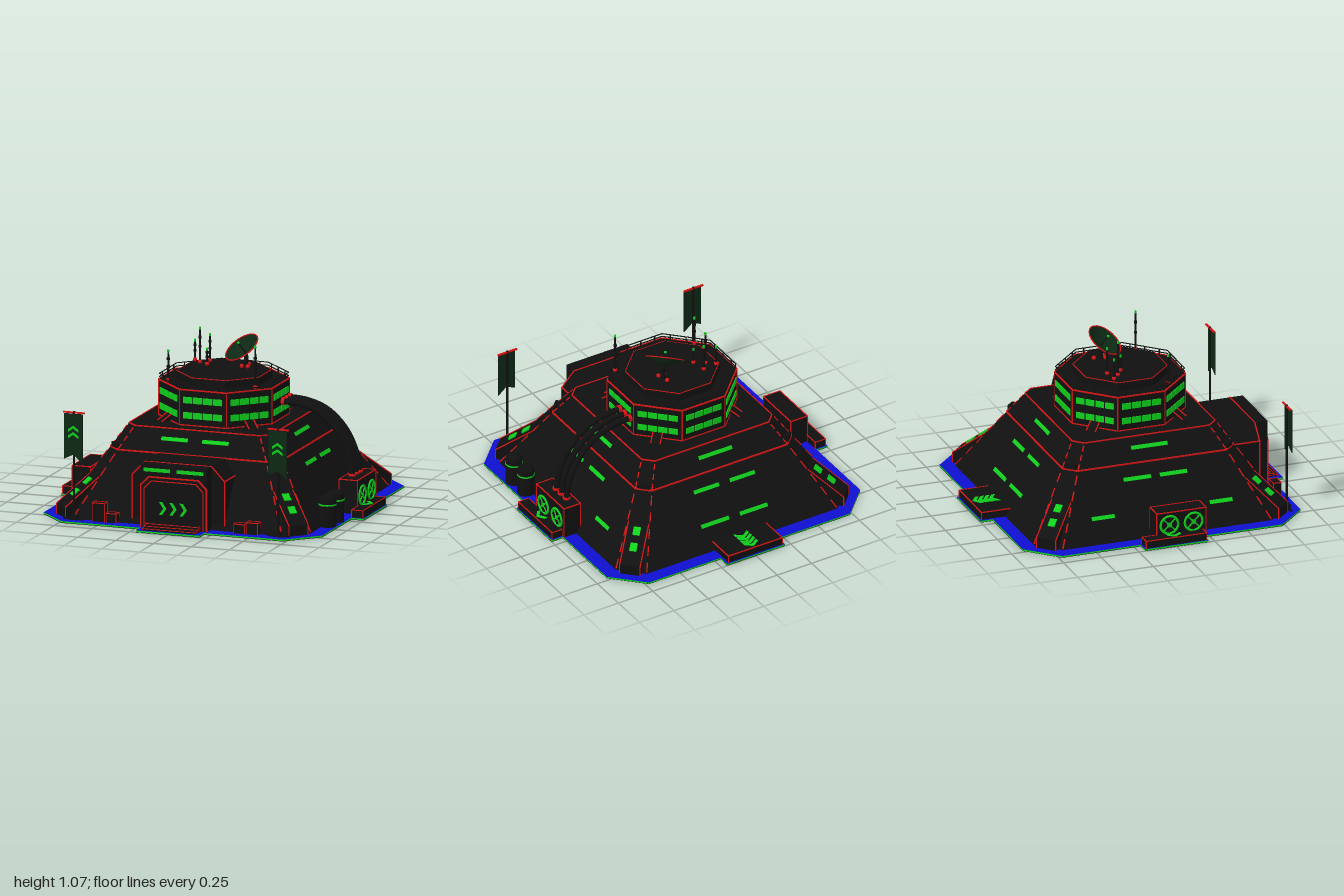
import * as THREE from 'three';

const mat = (name, color) => {
  const m = new THREE.MeshStandardMaterial({ color });
  m.name = name;
  return m;
};
const BLACK = mat('black armour', 0x101010);
const RED = mat('red trim', 0xd81414);
const GREEN = mat('green light', 0x0fd01c);
const BLUE = mat('blue ground', 0x0e0ed0);
const DARK = mat('dark green', 0x0d2814);
const V = (x, y, z) => new THREE.Vector3(x, y, z);

function add(parent, name, geo, material, x = 0, y = 0, z = 0) {
  const m = new THREE.Mesh(geo, material);
  m.name = name;
  m.position.set(x, y, z);
  parent.add(m);
  return m;
}
function group(parent, name, rotY = 0) {
  const g = new THREE.Group();
  g.name = name;
  g.rotation.y = rotY;
  parent.add(g);
  return g;
}
const box = (p, name, w, h, d, x, y, z, m = BLACK) => add(p, name, new THREE.BoxGeometry(w, h, d), m, x, y, z);
const cyl = (p, name, r0, r1, h, x, y, z, m = BLACK, n = 12) =>
  add(p, name, new THREE.CylinderGeometry(r1, r0, h, n), m, x, y + h / 2, z);

// Thin square bar between two points
function bar(p, name, a, b, w = 0.008, m = RED) {
  const d = b.clone().sub(a), c = a.clone().add(b).multiplyScalar(0.5);
  const mesh = box(p, name, w, w, d.length(), c.x, c.y, c.z, m);
  mesh.quaternion.setFromUnitVectors(V(0, 0, 1), d.normalize());
}
function path(p, name, pts, w, m, closed = false) {
  for (let i = 0; i < pts.length - (closed ? 0 : 1); i++) bar(p, name, pts[i], pts[(i + 1) % pts.length], w, m);
}
// Box standing on y with red upper and upright edges
function edgedBox(p, name, w, h, d, x, y, z, t = 0.006) {
  const g = group(p, name);
  box(g, name + 'Body', w, h, d, x, y + h / 2, z);
  const c = [[1, 1], [1, -1], [-1, -1], [-1, 1]].map(([i, j]) => V(x + i * w / 2, y + h, z + j * d / 2));
  path(g, name + 'Trim', c, t, RED, true);
  c.forEach(q => bar(g, name + 'Trim', V(q.x, y, q.z), q, t));
}
const shape = pts => new THREE.Shape(pts.map(([x, y]) => new THREE.Vector2(x, y)));
const extrude = (pts, depth) => new THREE.ExtrudeGeometry(shape(pts), { depth, bevelEnabled: false });
// Chevron plate pointing along +x in its own plane
const chevron = s => extrude([[0, s], [s * 0.5, s], [s * 1.2, 0], [s * 0.5, -s], [0, -s], [s * 0.7, 0]], 0.006);

// Square ring with cut corners
const ring = (y, h, c) => [[h, c - h], [h, h - c], [h - c, h], [c - h, h], [-h, h - c], [-h, c - h], [c - h, -h], [h - c, -h]]
  .map(([x, z]) => V(x, y, z));
function loft(rings) {
  const pos = [], tri = (...v) => v.forEach(p => pos.push(p.x, p.y, p.z));
  for (let k = 0; k + 1 < rings.length; k++) {
    const a = rings[k], b = rings[k + 1];
    a.forEach((p, i) => {
      const j = (i + 1) % a.length;
      tri(p, b[i], b[j]);
      tri(p, b[j], a[j]);
    });
  }
  const top = rings[rings.length - 1];
  for (let i = 1; i + 1 < top.length; i++) tri(top[0], top[i + 1], top[i]);
  const g = new THREE.BufferGeometry();
  g.setAttribute('position', new THREE.Float32BufferAttribute(pos, 3));
  g.computeVertexNormals();
  return g;
}
const half = y => 0.84 - 0.667 * y;

function buildBase(root) {
  const pts = [];
  for (let k = 0; k < 4; k++) {
    const c = Math.round(Math.cos(k * Math.PI / 2)), s = Math.round(Math.sin(k * Math.PI / 2));
    for (const [x, y] of [[0.92, -0.21], [1, -0.21], [1, 0.21], [0.92, 0.21], [0.92, 0.73], [0.73, 0.92]])
      pts.push([x * c - y * s, x * s + y * c]);
  }
  add(root, 'underside', extrude(pts, 0.003).rotateX(-Math.PI / 2), BLACK);
  add(root, 'groundPlate', extrude(pts, 0.01).rotateX(-Math.PI / 2), [BLUE, GREEN], 0, 0.002, 0);
}

function buildPyramid(root) {
  const rings = [ring(0.01, half(0.01), 0.14), ring(0.41, half(0.41), 0.075), ring(0.55, half(0.55), 0.06)];
  add(root, 'pyramid', loft(rings), BLACK);
  path(root, 'ledgeTrim', rings[1], 0.009, RED, true);
  path(root, 'upperTrim', rings[2], 0.007, RED, true);
  // Broken red lines along the corner edges
  for (let i = 0; i < 8; i++) for (let k = 0; k < 2; k++) for (let t = 0; t < 5 - k * 2; t++) {
    const n = 5 - k * 2, at = f => rings[k][i].clone().lerp(rings[k + 1][i], f / n);
    bar(root, 'cornerTrim', at(t + 0.1), at(t + 0.7), 0.007);
  }
  // Light strips on the slopes: [height, centre, length], for front, right, back, left
  const pair = (y, c, l) => [[y, -c, l], [y, c, l]];
  const strips = [
    pair(0.49, 0.135, 0.175),
    [[0.49, 0, 0.24], ...pair(0.33, 0.125, 0.17), [0.15, 0.385, 0.15]],
    [[0.49, 0, 0.24], ...pair(0.33, 0.13, 0.18), ...pair(0.15, 0.14, 0.2)],
    [[0.49, 0, 0.24], ...pair(0.33, 0.12, 0.18), ...pair(0.15, 0.39, 0.15)],
  ];
  strips.forEach((list, k) => {
    const g = group(root, 'slopeLights', k * Math.PI / 2);
    for (const [y, x, l] of list) box(g, 'lightStrip', l, 0.025, 0.009, x, y, half(y), GREEN).rotation.x = -0.588;
  });
  // Corner buttresses
  for (let k = 0; k < 4; k++) {
    const g = group(root, 'cornerButtress', Math.PI / 4 + k * Math.PI / 2);
    const prof = [[0.8, 0.01], [1.11, 0.01], [1.11, 0.08], [0.89, 0.245], [0.82, 0.27]];
    add(g, 'buttressBody', extrude(prof, 0.13), BLACK, 0, 0, -0.065);
    for (const z of [-0.065, 0.065]) path(g, 'buttressTrim', prof.slice(1).map(([x, y]) => V(x, y, z)), 0.006, RED);
    for (const [r, y] of [[1.015, 0.154], [0.93, 0.218]])
      box(g, 'buttressLight', 0.055, 0.012, 0.045, r, y, 0, GREEN).rotation.z = -0.643;
    box(g, 'cornerStud', 0.06, 0.05, 0.07, 0.72, 0.42, 0);
    for (const z of [-0.03, 0.03]) box(g, 'studTrim', 0.02, 0.012, 0.012, 0.655, 0.5, z, RED);
  }
}

function buildGate(root) {
  const g = group(root, 'gatehouse');
  const arch = [[-0.305, 0.01], [-0.305, 0.32], [-0.22, 0.41], [0.22, 0.41], [0.305, 0.32], [0.305, 0.01]];
  add(g, 'outerArch', extrude([...arch].reverse(), 0.31), BLACK, 0, 0, 0.5);
  path(g, 'archTrim', arch.map(([x, y]) => V(x, y, 0.81)), 0.007, RED);
  for (const s of [-1, 1]) bar(g, 'archTrim', V(s * 0.305, 0.32, 0.62), V(s * 0.305, 0.32, 0.81), 0.007);
  box(g, 'portal', 0.44, 0.4, 0.35, 0, 0.21, 0.72);
  const frame = (w, h, c) => [[-w, 0.01], [-w, h - c], [c - w, h], [w - c, h], [w, h - c], [w, 0.01]].map(([x, y]) => V(x, y, 0.896));
  path(g, 'doorFrame', frame(0.217, 0.335, 0.055), 0.009, RED);
  path(g, 'doorFrameInner', frame(0.195, 0.31, 0.05), 0.006, RED);
  for (const s of [-1, 1]) box(g, 'portalLight', 0.175, 0.022, 0.008, s * 0.11, 0.38, 0.897, GREEN);
  for (let i = 0; i < 3; i++) add(g, 'doorChevron', chevron(0.04), GREEN, -0.095 + i * 0.068, 0.14, 0.895);
  for (let i = 0; i < 3; i++) edgedBox(g, 'step', 0.35, 0.012, 0.09 - i * 0.027, 0, 0.01 + i * 0.011, 0.935 - i * 0.0135, 0.004);
}

function buildTower(root) {
  const g = group(root, 'tower');
  const R = 1 / Math.cos(Math.PI / 8);
  const oct = (a, y) => Array.from({ length: 8 }, (_, i) => {
    const t = Math.PI / 8 + i * Math.PI / 4;
    return V(a * R * Math.cos(t), y, a * R * Math.sin(t));
  });
  add(g, 'towerWalls', loft([oct(0.375, 0.54), oct(0.375, 0.78)]), BLACK);
  add(g, 'roofDeck', loft([oct(0.275, 0.78), oct(0.275, 0.825), oct(0.26, 0.84)]), BLACK);
  path(g, 'roofTrim', oct(0.375, 0.778), 0.008, RED, true);
  path(g, 'footTrim', oct(0.375, 0.555), 0.007, RED, true);
  path(g, 'deckTrim', oct(0.271, 0.832), 0.004, RED, true);
  oct(0.375, 0.56).forEach(p => bar(g, 'wallTrim', p, V(p.x, 0.775, p.z), 0.006));
  for (const y of [0.795, 0.815]) path(g, 'railing', oct(0.37, y), 0.005, BLACK, true);
  for (let k = 0; k < 8; k++) {
    const f = group(g, 'towerFace', k * Math.PI / 4);
    for (const y of [0.617, 0.714]) for (let i = 0; i < 4; i++) box(f, 'window', 0.058, 0.04, 0.009, (i - 1.5) * 0.066, y, 0.376, GREEN);
    for (let i = -1; i <= 1; i++) box(f, 'railPost', 0.006, 0.036, 0.006, i * 0.1, 0.797, 0.37);
    if (k % 2) {
      const prof = [[0.36, 0.54], [0.45, 0.54], [0.36, 0.6]];
      add(f, 'footWedge', extrude(prof, 0.06).rotateY(-Math.PI / 2), BLACK, 0.03, 0, 0);
      for (const s of [-0.03, 0.03]) bar(f, 'wedgeTrim', V(s, 0.55, 0.44), V(s, 0.6, 0.365), 0.006);
    }
  }
  // Masts: x, z, foot, top
  for (const [x, z, y0, y1] of [[-0.24, -0.13, 0.84, 0.98], [-0.19, -0.085, 0.84, 1.07], [-0.145, -0.14, 0.84, 1.02],
    [-0.128, -0.045, 0.84, 0.95], [-0.29, 0.21, 0.78, 0.98], [0.285, 0.21, 0.78, 1.05]]) {
    const m = group(g, 'mast'), h = y1 - y0;
    cyl(m, 'mastPole', 0.008, 0.006, h, x, y0, z, BLACK, 8);
    for (const t of [0.45, 0.7]) cyl(m, 'mastJoint', 0.011, 0.011, 0.014, x, y0 + h * t, z, BLACK, 8);
    add(m, 'mastFoot', new THREE.SphereGeometry(0.014, 10, 6), RED, x, y0 + 0.013, z);
    cyl(m, 'mastTip', 0.007, 0.007, 0.016, x, y1 - 0.012, z, GREEN, 8);
  }
  // Tilted dish
  cyl(g, 'dishPost', 0.016, 0.012, 0.1, 0.115, 0.84, -0.085);
  for (const [x, z] of [[0.095, -0.06], [0.135, -0.06], [0.115, -0.13]])
    add(g, 'dishFoot', new THREE.SphereGeometry(0.014, 10, 6), RED, x, 0.853, z);
  const d = group(g, 'dish');
  d.position.set(0.11, 0.935, -0.085);
  d.quaternion.setFromUnitVectors(V(0, 1, 0), V(-0.5, 1, 0.55).normalize());
  const bowl = [0, 0.03, 0.06, 0.09, 0.118].map(r => new THREE.Vector2(r, r * r * 3.2));
  const dishMat = DARK;
  dishMat.side = THREE.DoubleSide;
  add(d, 'dishBowl', new THREE.LatheGeometry(bowl, 24), dishMat);
  add(d, 'dishRim', new THREE.TorusGeometry(0.118, 0.004, 6, 24).rotateX(Math.PI / 2), RED, 0, 0.0446, 0);
  cyl(d, 'dishFeed', 0.004, 0.004, 0.08, 0, 0, 0, BLACK, 6);
  add(d, 'feedTip', new THREE.SphereGeometry(0.009, 8, 6), GREEN, 0, 0.082, 0);
}

function buildYard(root) {
  // Fan units and landing pads on both flanks
  for (const [side, h] of [[0, 0.215], [1, 0.19]]) {
    const g = group(root, 'flank', side * Math.PI);
    edgedBox(g, 'fanUnit', 0.12, h, 0.325, 0.86, 0.01, -0.06);
    for (const z of [0.02, -0.14]) {
      const f = group(g, 'fan', Math.PI / 2);
      f.position.set(0.922, 0.118, z);
      add(f, 'fanRing', new THREE.TorusGeometry(0.058, 0.008, 6, 24), GREEN);
      add(f, 'fanHub', new THREE.CylinderGeometry(0.016, 0.016, 0.01, 12).rotateX(Math.PI / 2), GREEN);
      for (let i = 0; i < 4; i++) box(f, 'fanBlade', 0.11, 0.008, 0.006, 0, 0, 0, i % 2 ? GREEN : BLACK).rotation.z = i * Math.PI / 4;
    }
    edgedBox(g, 'sidePad', 0.075, 0.05, 0.4, 0.955, 0.01, 0, 0.005);
    add(g, 'padChevron', chevron(0.045).rotateX(-Math.PI / 2), GREEN, 0.93, 0.059, 0);
  }
  edgedBox(root, 'rearPad', 0.39, 0.05, 0.2, 0, 0.01, -0.89);
  for (let i = 0; i < 4; i++) {
    const c = add(root, 'rearChevron', chevron(0.048).rotateX(-Math.PI / 2), GREEN, 0, 0.059, -0.81 - i * 0.036);
    c.rotation.y = Math.PI / 2;
  }
  // Pipes from the tower to the right fan unit
  for (const z of [-0.13, -0.07, -0.01]) {
    const curve = new THREE.CatmullRomCurve3([[0.37, 0.665], [0.5, 0.655], [0.63, 0.61], [0.75, 0.5], [0.825, 0.35], [0.845, 0.22]].map(([x, y]) => V(x, y, z)));
    add(root, 'pipe', new THREE.TubeGeometry(curve, 28, 0.019, 10), BLACK);
    cyl(root, 'pipeCollar', 0.024, 0.024, 0.02, 0.845, 0.22, z, RED);
    add(root, 'pipeCollar', new THREE.CylinderGeometry(0.025, 0.025, 0.02, 12).rotateZ(Math.PI / 2), RED, 0.39, 0.664, z);
  }
  // Storage tanks
  for (const z of [0.33, 0.47]) {
    const prof = [[0.054, 0.01], [0.054, 0.18], [0.045, 0.2], [0.025, 0.21], [0, 0.212]].map(([x, y]) => new THREE.Vector2(x, y));
    add(root, 'tank', new THREE.LatheGeometry(prof, 20), BLACK, 0.86, 0, z);
    cyl(root, 'tankBand', 0.056, 0.056, 0.01, 0.86, 0.147, z, GREEN, 20);
  }
  // Crates
  for (const [x, w, h] of [[-0.51, 0.08, 0.12], [-0.425, 0.065, 0.06], [0.42, 0.07, 0.06], [0.505, 0.075, 0.075]])
    edgedBox(root, 'crate', w, h, 0.05, x, 0.01, 0.835, 0.005);
  // Banners
  for (const s of [-1, 1]) {
    const b = group(root, 'banner');
    b.position.set(s * 0.675, 0, 0.85);
    box(b, 'bannerFoot', 0.14, 0.012, 0.02, 0, 0.016, 0);
    box(b, 'bannerBlock', 0.05, 0.03, 0.035, 0, 0.025, 0);
    cyl(b, 'bannerPole', 0.008, 0.008, 0.69, 0, 0.01, 0, BLACK, 8);
    box(b, 'bannerBar', 0.14, 0.009, 0.012, 0, 0.692, 0, RED);
    const cloth = [[-0.06, 0.685], [-0.06, 0.4], [0, 0.43], [0.06, 0.38], [0.06, 0.685]];
    add(b, 'bannerCloth', extrude(cloth, 0.006), DARK, 0, 0, 0.009);
    path(b, 'bannerHem', cloth.map(([x, y]) => V(x, y, 0.012)), 0.004, BLACK, true);
    for (const y of [0.53, 0.57]) add(b, 'bannerChevron', chevron(0.034), GREEN, 0, y, 0.012).rotation.z = Math.PI / 2;
  }
}

export function createModel() {
  const root = new THREE.Group();
  root.name = 'fortress';
  buildBase(root);
  buildPyramid(root);
  buildGate(root);
  buildTower(root);
  buildYard(root);
  return root;
}
